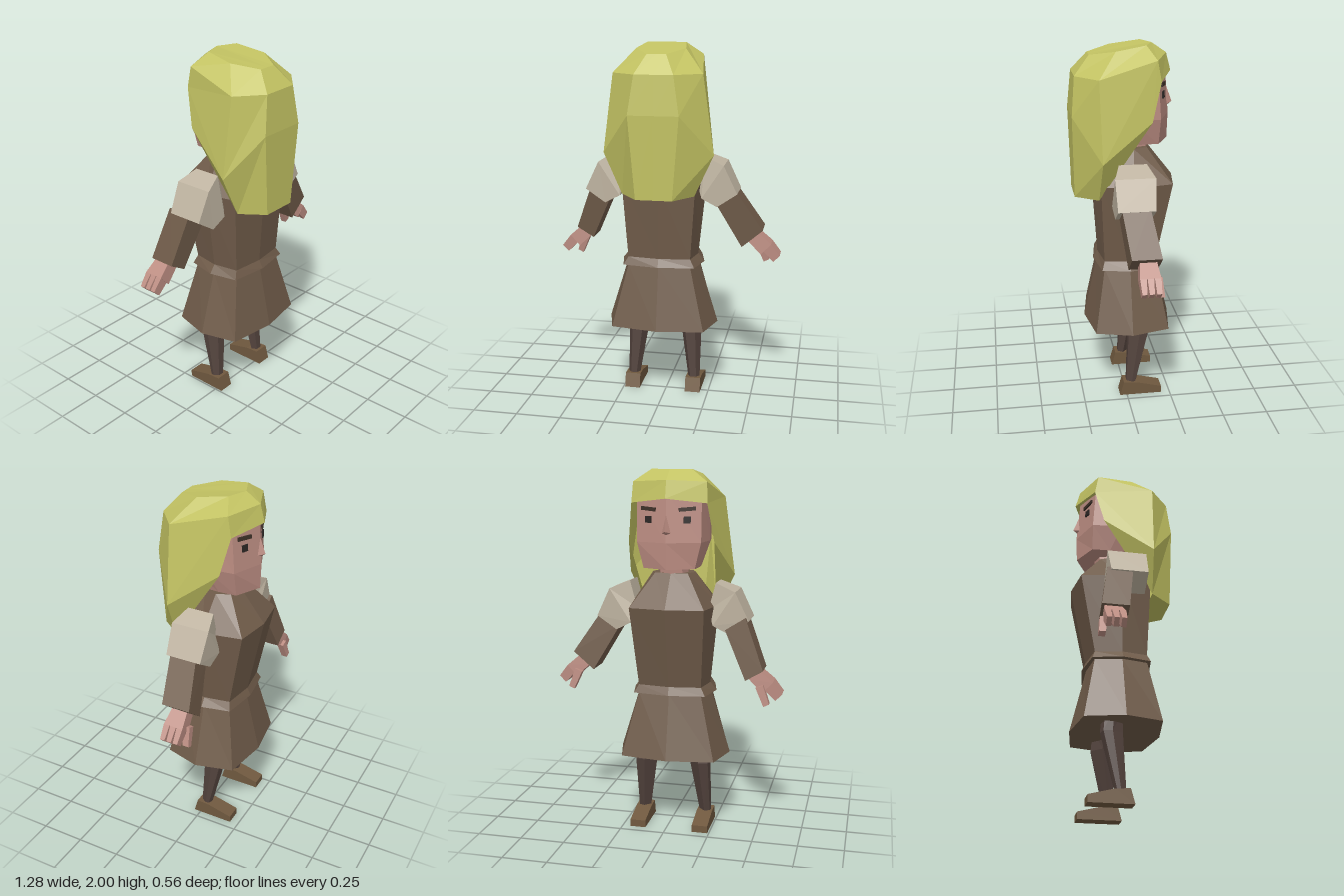
import * as THREE from 'three';

const mat = (name, color, extra = {}) => {
  const m = new THREE.MeshStandardMaterial({ color, ...extra });
  m.name = name;
  return m;
};

// Flat-shaded mesh from a list of triangles (each three [x, y, z] corners)
function facetMesh(name, tris, material) {
  const g = new THREE.BufferGeometry();
  g.setAttribute('position', new THREE.Float32BufferAttribute(tris.flat(2), 3));
  g.computeVertexNormals();
  const m = new THREE.Mesh(g, material);
  m.name = name;
  return m;
}

// Closed loft through rings of equal point count; turned so faces point outward
function loft(name, rings, material) {
  const tris = [], n = rings[0].length, last = rings[rings.length - 1];
  for (let r = 0; r < rings.length - 1; r++) {
    for (let i = 0; i < n; i++) {
      const j = (i + 1) % n, a = rings[r], b = rings[r + 1];
      tris.push([a[i], a[j], b[j]], [a[i], b[j], b[i]]);
    }
  }
  for (let i = 1; i < n - 1; i++) {
    tris.push([rings[0][0], rings[0][i + 1], rings[0][i]], [last[0], last[i], last[i + 1]]);
  }
  const V = (p) => new THREE.Vector3(...p);
  const volume = tris.reduce((s, [a, b, c]) => s + V(a).dot(V(b).cross(V(c))), 0);
  if (volume < 0) tris.forEach((t) => t.reverse());
  return facetMesh(name, tris, material);
}

// Eight-sided body section: corner and side half widths, then depths front to back
const oct = (y, wc, ws, zFront, zFrontCorner, zSide, zBackCorner, zBack) => [
  [0, y, zFront], [wc, y, zFrontCorner], [ws, y, zSide], [wc, y, zBackCorner],
  [0, y, zBack], [-wc, y, zBackCorner], [-ws, y, zSide], [-wc, y, zFrontCorner],
];

// Four-sided limb section from outer point, inner point and depth range
const quad = (s, ox, oy, ix, iy, z0, z1) => [
  [s * ox, oy, z0], [s * ox, oy, z1], [s * ix, iy, z1], [s * ix, iy, z0],
];

export function createModel() {
  const tunicMat = mat('tunic brown', 0x6f5b49);
  const shoeMat = mat('shoe brown', 0x70593f);
  const legMat = mat('legging dark brown', 0x54443e);
  const skin = mat('skin', 0xbc8d82);
  const puffMat = mat('sleeve cream', 0xbfb4a1);
  const hairMat = mat('hair yellow', 0xc2c262, { side: THREE.DoubleSide });
  const browMat = mat('brow brown', 0x3d3028);
  const eyeMat = mat('eye dark', 0x2b2624);

  const model = new THREE.Group();
  model.name = 'figure';
  const body = new THREE.Group();
  body.name = 'body';
  body.position.x = -0.018;
  model.add(body);
  const add = (...meshes) => body.add(...meshes);

  // Clothing
  add(loft('skirt', [
    oct(0.43, 0.26, 0.315, -0.27, -0.23, -0.02, 0.18, 0.22),
    oct(0.785, 0.175, 0.205, -0.185, -0.165, -0.02, 0.12, 0.145),
  ], tunicMat));
  add(loft('belt', [
    oct(0.785, 0.2, 0.235, -0.21, -0.18, -0.02, 0.135, 0.165),
    oct(0.83, 0.175, 0.2, -0.19, -0.165, -0.02, 0.12, 0.14),
  ], tunicMat));
  add(loft('bodice', [
    oct(0.83, 0.175, 0.2, -0.19, -0.165, -0.02, 0.12, 0.14),
    oct(1.27, 0.205, 0.245, -0.28, -0.25, -0.03, 0.14, 0.17),
    oct(1.45, 0.09, 0.12, -0.14, -0.125, -0.05, 0.03, 0.05),
  ], tunicMat));

  // Neck and head
  add(loft('neck', [
    oct(1.42, 0.06, 0.08, -0.14, -0.12, -0.06, 0, 0.01),
    oct(1.52, 0.06, 0.08, -0.15, -0.13, -0.06, 0, 0.01),
  ], skin));
  add(loft('head', [
    oct(1.48, 0.14, 0.145, -0.25, -0.18, -0.08, 0.0, 0.03),
    oct(1.62, 0.175, 0.19, -0.255, -0.185, -0.02, 0.1, 0.14),
    oct(1.88, 0.175, 0.185, -0.235, -0.168, -0.02, 0.1, 0.14),
  ], skin));
  const bridge = [0, 1.77, -0.242], tip = [0, 1.68, -0.275], base = [0, 1.66, -0.248];
  const nl = [0.025, 1.67, -0.24], nr = [-0.025, 1.67, -0.24];
  add(facetMesh('nose', [
    [bridge, nl, tip], [bridge, tip, nr], [tip, nl, base], [tip, base, nr],
  ], skin));

  for (const s of [1, -1]) {
    // Eyes and brows
    const plate = (name, w, h, x, y, z, roll, m) => {
      const p = new THREE.Mesh(new THREE.BoxGeometry(w, h, 0.009), m);
      p.name = name;
      p.position.set(s * x, y, z);
      p.rotation.set(0.07, -s * 0.37, s * roll);
      add(p);
    };
    plate('eye', 0.036, 0.036, 0.105, 1.74, -0.208, 0, eyeMat);
    plate('brow', 0.09, 0.02, 0.105, 1.795, -0.206, 0.1, browMat);
  }

  // Hair: half columns running down from the crown, mirrored
  const F = [[0, 2, -0.16], [0, 1.945, -0.24], [0, 1.85, -0.265]];
  const A = [[0.11, 2, -0.115], [0.2, 1.935, -0.16], [0.205, 1.825, -0.18], [0.235, 1.62, -0.13]];
  const B = [[0.135, 1.975, 0.05], [0.243, 1.85, 0.15], [0.303, 1.42, 0.14], [0.2, 1.195, 0.15]];
  const C = [[0.052, 1.95, 0.18], [0.105, 1.85, 0.265], [0.137, 1.64, 0.283], [0.1, 1.19, 0.272]];
  const brim = [[0, 1.86, -0.22], [0.16, 1.83, -0.15]];
  const hair = [];
  for (const s of [1, -1]) {
    const face = (...pts) => {
      const p = pts.map(([x, y, z]) => [s * x, y, z]);
      if (s < 0) p.reverse();
      for (let i = 1; i < p.length - 1; i++) hair.push([p[0], p[i], p[i + 1]]);
    };
    const mid = (p) => [0, p[1], p[2]];
    face(F[0], mid(C[0]), C[0], B[0], A[0]);          // crown
    face(F[0], A[0], A[1], F[1]);                     // forelock
    face(F[1], A[1], A[2], F[2]);                     // fringe
    face(F[2], A[2], brim[1], brim[0]);               // fringe underside
    face(A[0], B[0], B[1], A[1]);
    face(A[1], B[1], B[2], A[3], A[2]);               // side
    face(A[3], B[2], B[3]);
    face(B[0], C[0], C[1], B[1]);
    face(B[1], C[1], C[2], B[2]);                     // back corner
    face(B[2], C[2], C[3], B[3]);
    for (let i = 0; i < 3; i++) face(C[i], mid(C[i]), mid(C[i + 1]), C[i + 1]); // back
    face(C[3], mid(C[3]), [0, 1.195, 0.15], B[3]);    // underside
  }
  add(facetMesh('hair', hair, hairMat));

  // Arms: the two wrists are posed slightly differently
  const poses = [
    { s: 1, cuff: [0.565, 0.99, 0.45, 0.892, -0.13, 0.03], top: [-0.09, 0.06], wrist: [0.51, 0.935, -0.06] },
    { s: -1, cuff: [0.515, 0.945, 0.42, 0.888, -0.185, -0.04], top: [-0.14, 0], wrist: [0.468, 0.915, -0.125] },
  ];
  for (const { s, cuff, top, wrist: [wx, wy, wz] } of poses) {
    add(loft('puffSleeve', [
      quad(s, 0.24, 1.4, 0.2, 1.25, -0.1, 0.05),
      quad(s, 0.35, 1.355, 0.23, 1.17, -0.13, 0.085),
      quad(s, 0.425, 1.2, 0.315, 1.125, -0.12, 0.08),
    ], puffMat));
    add(loft('sleeve', [quad(s, 0.41, 1.22, 0.3, 1.15, ...top), quad(s, ...cuff)], tunicMat));

    const q = (ox, oy, ix, iy, z0, z1) =>
      quad(s, wx + ox, wy + oy, wx + ix, wy + iy, wz + z0, wz + z1);
    add(loft('palm', [
      q(0.03, 0.03, -0.03, -0.02, -0.045, 0.045),
      q(0.1, -0.03, 0.045, -0.09, -0.055, 0.055),
    ], skin));
    for (let i = 0; i < 3; i++) {
      const z = -0.055 + 0.038 * i;
      add(loft('finger', [
        q(0.1, -0.03, 0.06, -0.075, z, z + 0.034),
        q(0.15, -0.095, 0.115, -0.13, z + 0.004, z + 0.03),
      ], skin));
    }
    add(loft('thumb', [
      q(0.05, -0.045, 0.01, -0.06, -0.07, -0.03),
      q(0.085, -0.145, 0.055, -0.16, -0.08, -0.045),
    ], skin));
  }

  // Legs and shoes
  const profile = new THREE.Shape([[0.04, 0], [-0.2, 0], [-0.2, 0.04], [-0.06, 0.075], [0.018, 0.08]]
    .map(([z, y]) => new THREE.Vector2(-z, y)));
  for (const s of [1, -1]) {
    const leg = (y, xi, xo, z0, z1) => {
      const b = (xo - xi) * 0.25, zm = (z0 + z1) / 2, xm = (xi + xo) / 2;
      return [[xm, y, z0], [xo - b / 4, y, z0 + 0.01], [xo, y, zm], [xo - b, y, z1],
        [xi + b, y, z1], [xi, y, zm]].map(([x, yy, z]) => [s * x, yy, z]);
    };
    add(loft('leg', [
      leg(0.07, 0.145, 0.212, -0.058, 0.0),
      leg(0.38, 0.095, 0.215, -0.13, -0.015),
      leg(0.5, 0.075, 0.215, -0.12, -0.01),
    ], legMat));
    const shoe = new THREE.Mesh(
      new THREE.ExtrudeGeometry(profile, { depth: 0.088, bevelEnabled: false }), shoeMat);
    shoe.name = 'shoe';
    shoe.rotation.y = Math.PI / 2;
    shoe.position.x = s * 0.179 - 0.044;
    add(shoe);
  }
  return model;
}
